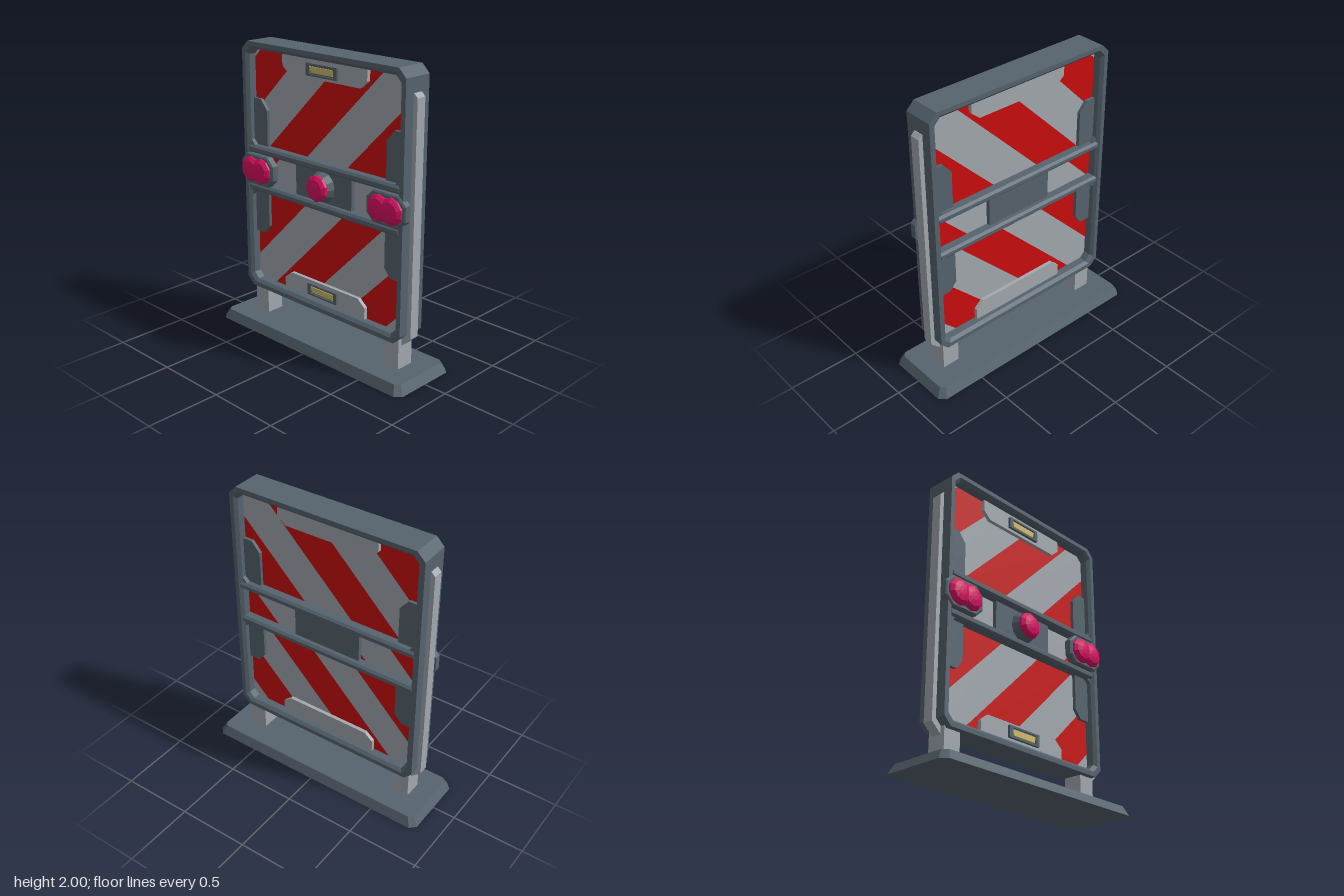
import * as THREE from 'three';

const mat = (name, color) => {
  const m = new THREE.MeshStandardMaterial({ color });
  m.name = name;
  return m;
};

// Rectangle with chamfered corners, counter-clockwise, at height z
function chamferRect(w, h, c, z, cy = 0) {
  return [[w, -h + c], [w, h - c], [w - c, h], [-w + c, h], [-w, h - c], [-w, -h + c], [-w + c, -h], [w - c, -h]]
    .map(([x, y]) => [x, y + cy, z]);
}

// Flat-shaded skin through successive loops
function loft(loops, closed = false) {
  const pos = [];
  const count = closed ? loops.length : loops.length - 1;
  for (let k = 0; k < count; k++) {
    const a = loops[k], b = loops[(k + 1) % loops.length];
    for (let i = 0; i < a.length; i++) {
      const j = (i + 1) % a.length;
      pos.push(...a[i], ...a[j], ...b[j], ...a[i], ...b[j], ...b[i]);
    }
  }
  const g = new THREE.BufferGeometry();
  g.setAttribute('position', new THREE.Float32BufferAttribute(pos, 3));
  g.computeVertexNormals();
  return g;
}

// Polygon in the xy plane extruded from z0 to z1
function slab(points, z0, z1) {
  const shape = new THREE.Shape(points.map(([x, y]) => new THREE.Vector2(x, y)));
  return new THREE.ExtrudeGeometry(shape, { depth: z1 - z0, bevelEnabled: false }).translate(0, 0, z0);
}

// Part of a polygon where sign * (x - y - s) >= 0
function clip(poly, s, sign) {
  const out = [];
  const d = ([x, y]) => sign * (x - y - s);
  poly.forEach((p, i) => {
    const q = poly[(i + 1) % poly.length];
    const a = d(p), b = d(q);
    if (a >= 0) out.push(p);
    if (a * b < 0) {
      const t = a / (a - b);
      out.push([p[0] + (q[0] - p[0]) * t, p[1] + (q[1] - p[1]) * t]);
    }
  });
  return out;
}

export function createModel() {
  const root = new THREE.Group();
  root.name = 'barricade';
  const dark = mat('slate grey', 0x56636e);
  const grey = mat('light grey', 0xa3a9b0);
  const red = mat('stripe red', 0xcb0d0d);
  const pink = mat('lamp pink', 0xdc1062);
  const yellow = mat('pale yellow', 0xd0bd66);

  const add = (name, geometry, material) => {
    const m = new THREE.Mesh(geometry, material);
    m.name = name;
    root.add(m);
    return m;
  };
  const box = (name, w, h, d, x, y, z, material) =>
    add(name, new THREE.BoxGeometry(w, h, d).translate(x, y, z), material);

  // Sloped foot plate
  add('basePlate', loft([
    chamferRect(0, 0, 0, 0), chamferRect(0.84, 0.255, 0.04, 0),
    chamferRect(0.805, 0.225, 0.03, 0.065), chamferRect(0, 0, 0, 0.065),
  ]).rotateX(-Math.PI / 2), dark);

  // Outer frame with bevelled inner edges
  add('frame', loft([
    chamferRect(0.71, 0.87, 0.055, -0.105, 1.13), chamferRect(0.71, 0.87, 0.055, 0.105, 1.13),
    chamferRect(0.68, 0.84, 0.045, 0.105, 1.13), chamferRect(0.66, 0.82, 0.04, 0.085, 1.13),
    chamferRect(0.66, 0.82, 0.04, -0.085, 1.13), chamferRect(0.68, 0.84, 0.045, -0.105, 1.13),
  ], true), dark);

  // Crossbars with bevelled edges and corner gussets
  for (const [y, dir] of [[1.265, 1], [0.995, -1]]) {
    const bar = slab([[-0.085, -0.027], [0.085, -0.027], [0.1, -0.012], [0.1, 0.012],
      [0.085, 0.027], [-0.085, 0.027], [-0.1, 0.012], [-0.1, -0.012]], -0.67, 0.67);
    add('crossbar', bar.rotateY(Math.PI / 2).translate(0, y, 0), dark);
    for (const s of [1, -1]) {
      const e = y + dir * 0.025;
      const tri = [[s * 0.665, e], [s * 0.665, e + dir * 0.04], [s * 0.625, e]];
      add('crossbarGusset', slab(tri, -0.085, 0.085), dark);
    }
  }

  // Striped panels: red lies between each pair of diagonals
  const stripeWidth = 0.355;
  const panels = [
    ['upperPanel', 1.265, 1.965, -2.545, 0.361],
    ['middlePanel', 0.995, 1.265, -2.005, 0.349],
    ['lowerPanel', 0.295, 0.995, -1.481, 0.341],
  ];
  for (const [name, y0, y1, start, width = stripeWidth] of panels) {
    const rect = [[-0.67, y0], [0.67, y0], [0.67, y1], [-0.67, y1]];
    for (let k = -4; k < 8; k++) {
      const s = start + k * width;
      const poly = clip(clip(rect, s, 1), s + width, -1);
      if (poly.length > 2) add(name + 'Stripe', slab(poly, -0.032, 0.032), k % 2 === 0 ? red : grey);
    }
  }

  // Centre plate behind the middle lamp
  box('centrePlate', 0.5, 0.23, 0.12, 0, 1.13, 0, dark);

  // Edge plates at top and bottom with front handles
  for (const dir of [1, -1]) {
    const Y = (d) => 1.13 + dir * d;
    add('edgePlate', slab([[-0.37, Y(0.825)], [-0.37, Y(0.74)], [-0.31, Y(0.69)],
      [0.31, Y(0.69)], [0.37, Y(0.74)], [0.37, Y(0.825)]], -0.058, 0.058), grey);
    const y = Y(0.75);
    box('handleHousing', 0.27, 0.08, 0.012, 0, y, 0.06, dark);
    for (const s of [1, -1]) {
      box('handleRim', 0.27, 0.012, 0.02, 0, y + s * 0.034, 0.066, dark);
      box('handleSide', 0.03, 0.08, 0.02, s * 0.12, y, 0.066, dark);
    }
    add('handle', slab([[-0.105, y + 0.02], [-0.095, y - 0.02], [0.095, y - 0.02], [0.105, y + 0.02]],
      0.06, 0.072), yellow);
  }

  // Faceted lamp dome
  const dome = (x) => {
    const profile = [[0.09, 0], [0.088, 0.015], [0.066, 0.034], [0.03, 0.043], [0, 0.045]]
      .map(([r, h]) => new THREE.Vector2(r, h));
    const g = new THREE.LatheGeometry(profile, 10).rotateX(Math.PI / 2).toNonIndexed();
    g.computeVertexNormals();
    add('lampDome', g.translate(x, 1.13, 0.112), pink);
  };
  const disc = new THREE.CylinderGeometry(0.085, 0.105, 0.055, 12).rotateX(Math.PI / 2).toNonIndexed();
  disc.computeVertexNormals();
  add('centreLampBase', disc.translate(0, 1.13, 0.0875), dark);
  dome(0);

  for (const s of [1, -1]) {
    // Twin lamps on a chamfered pod
    add('twinLampBase', loft([
      chamferRect(0, 0, 0, 0.065, 1.13), chamferRect(0.156, 0.105, 0.055, 0.065, 1.13),
      chamferRect(0.156, 0.105, 0.055, 0.108, 1.13), chamferRect(0.145, 0.095, 0.05, 0.116, 1.13),
      chamferRect(0, 0, 0, 0.116, 1.13),
    ]).translate(s * 0.579, 0, 0), dark);
    dome(s * 0.63);
    dome(s * 0.53);

    // Chamfered side plates passing behind the crossbars
    add('sidePlate', slab([[0.67, 0.66], [0.58, 0.66], [0.53, 0.72], [0.53, 1.0], [0.67, 1.0]]
      .map(([x, y]) => [s * x, y]), -0.055, 0.055), dark);
    add('sidePlate', slab([[0.67, 1.61], [0.59, 1.61], [0.53, 1.54], [0.53, 1.26], [0.67, 1.26]]
      .map(([x, y]) => [s * x, y]), -0.055, 0.055), dark);

    // Outer strip and leg
    add('sideStrip', slab([[0.67, 1.85], [0.715, 1.85], [0.74, 1.825], [0.74, 0.29], [0.67, 0.225]]
      .map(([x, y]) => [s * x, y]), -0.035, 0.035), grey);
    box('leg', 0.125, 0.22, 0.13, s * 0.607, 0.165, 0, grey);
  }
  return root;
}
